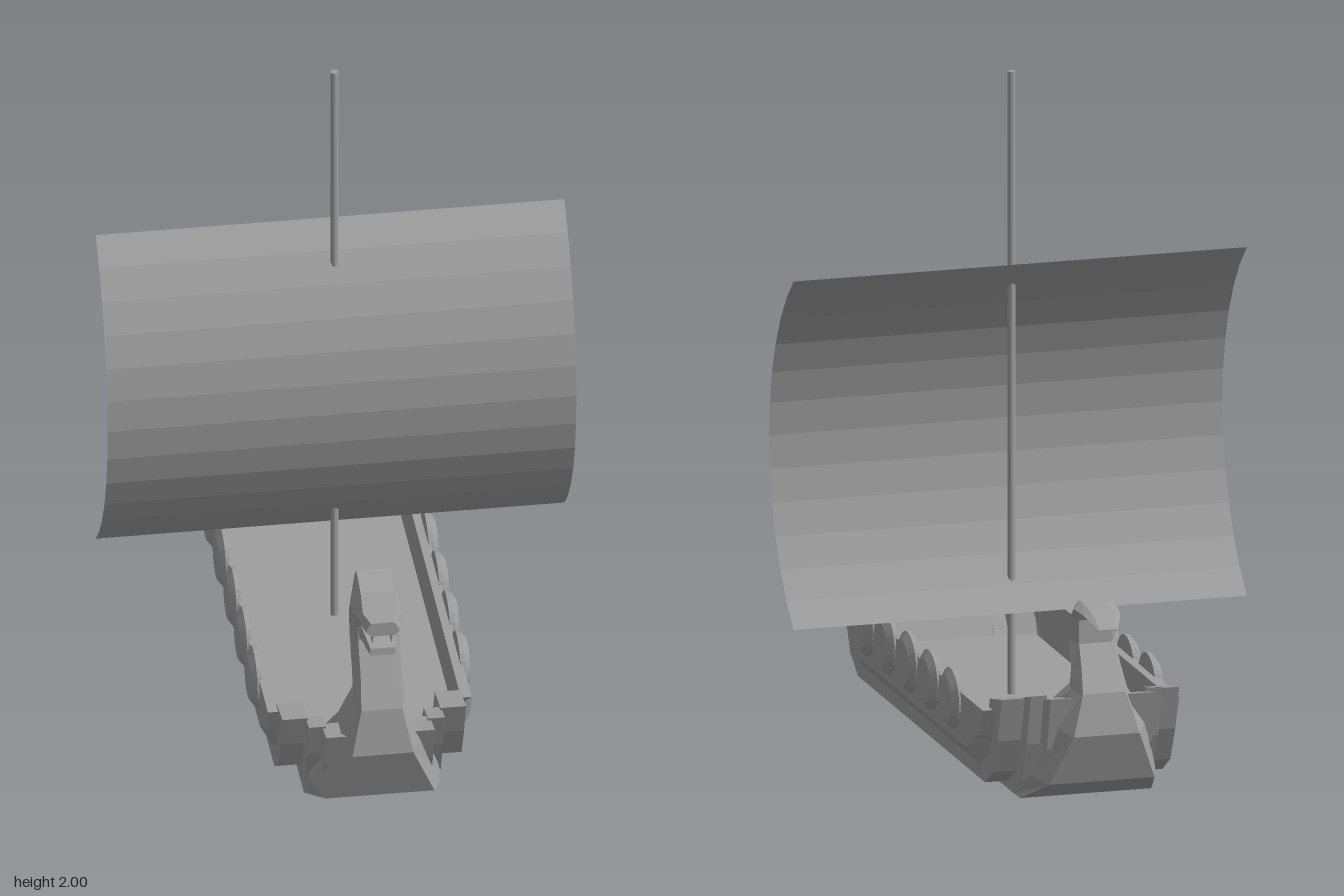
import * as THREE from 'three';

const color = 0x9e9e9e;
const mat = new THREE.MeshStandardMaterial({ color, flatShading: true });
const thin = new THREE.MeshStandardMaterial({ color, flatShading: true, side: THREE.DoubleSide });

function add(parent, name, geometry, material = mat) {
  const mesh = new THREE.Mesh(geometry, material);
  mesh.name = name;
  parent.add(mesh);
  return mesh;
}

// Loft of six-sided rings; row = [frontZ, frontY, backZ, backY, frontHalf, midHalf, backHalf]
function loft(rows, dir = 1) {
  const rings = rows.map(([fz, fy, bz, by, wf, wm, wb]) => {
    const mz = fz + (bz - fz) * 0.35, my = fy + (by - fy) * 0.35;
    return [[wf, fy, fz], [-wf, fy, fz], [-wm, my, mz], [-wb, by, bz], [wb, by, bz], [wm, my, mz]]
      .map(([x, y, z]) => [x, y, z * dir]);
  });
  const pos = [];
  const tri = (a, b, c) => pos.push(...a, ...(dir > 0 ? b : c), ...(dir > 0 ? c : b));
  for (let r = 0; r < rings.length - 1; r++) {
    const a = rings[r], b = rings[r + 1];
    for (let i = 0; i < 6; i++) {
      const j = (i + 1) % 6;
      tri(a[i], b[i], b[j]);
      tri(a[i], b[j], a[j]);
    }
  }
  const first = rings[0], last = rings[rings.length - 1];
  for (let i = 1; i < 5; i++) {
    tri(first[0], first[i], first[i + 1]);
    tri(last[0], last[i + 1], last[i]);
  }
  const g = new THREE.BufferGeometry();
  g.setAttribute('position', new THREE.Float32BufferAttribute(pos, 3));
  g.computeVertexNormals();
  return g;
}

// Plate with a (z, y) outline, spanning xi..xo on the given side
function sidePlate(points, xi, xo, side) {
  const shape = new THREE.Shape(points.map(([z, y]) => new THREE.Vector2(z, y)));
  const g = new THREE.ExtrudeGeometry(shape, { depth: xo - xi, bevelEnabled: false });
  g.rotateY(-Math.PI / 2);
  g.translate(side > 0 ? xo : -xi, 0, 0);
  return g;
}

// Open strip between two rows of points
function ribbon(rowA, rowB) {
  const pos = [];
  for (let i = 0; i < rowA.length - 1; i++) {
    pos.push(...rowA[i], ...rowB[i], ...rowB[i + 1], ...rowA[i], ...rowB[i + 1], ...rowA[i + 1]);
  }
  const g = new THREE.BufferGeometry();
  g.setAttribute('position', new THREE.Float32BufferAttribute(pos, 3));
  g.computeVertexNormals();
  return g;
}

// Upswept lower edge of a strake, from prow to stern
const sweep = (end, top, bottom, sternTop = top) => [
  [end, top], [end - 0.04, 0.19], [end - 0.09, bottom + 0.05], [end - 0.17, bottom],
  [-end + 0.17, bottom], [-end + 0.09, bottom + 0.05], [-end + 0.04, 0.19], [-end, sternTop],
];

export function createModel() {
  const ship = new THREE.Group();
  ship.name = 'longship';

  // Hull core, deck and bottom runners
  const hull = new THREE.Group();
  hull.name = 'hull';
  ship.add(hull);
  add(hull, 'keelBody', new THREE.BoxGeometry(0.398, 0.1, 1.4).translate(0, 0.06, 0));
  add(hull, 'deck', new THREE.BoxGeometry(0.535, 0.04, 1.29).translate(0, 0.105, 0));

  for (const side of [1, -1]) {
    add(hull, 'bottomRunner', new THREE.BoxGeometry(0.07, 0.012, 0.9).translate(side * 0.11, 0.006, 0.28));

    // Inner strakes, rising as stepped ribs at both ends
    for (const [xi, xo, end, top, sternTop, bottom, crest, foot] of [
      [0.195, 0.27, 0.81, 0.3, 0.325, 0.035, 0.69, 0.62],
      [0.15, 0.2, 0.87, 0.305, 0.345, 0.02, 0.78, 0.66],
      [0.08, 0.16, 0.94, 0.31, 0.35, 0.025, 0.83, 0.68]]) {
      const outline = [...sweep(end, top, bottom, sternTop),
        [-crest, sternTop - 0.025], [-foot, 0.118], [foot, 0.118], [crest, top - 0.02]];
      add(hull, 'innerStrake', sidePlate(outline, xi, xo, side));
    }

    // Outer strake with a bevelled lower edge
    const upper = sweep(0.72, 0.272, 0.12);
    const lower = sweep(0.765, 0.285, 0.075);
    add(hull, 'outerStrake', sidePlate(upper, 0.268, 0.3, side));
    add(hull, 'strakeBevel', ribbon(
      upper.map(([z, y]) => [side * 0.3, y, z]),
      lower.map(([z, y]) => [side * 0.268, y, z])), thin);

    // Row of round shields
    for (let i = 0; i < 5; i++) {
      const shield = new THREE.Group();
      shield.name = 'shield';
      shield.position.set(side * 0.3, 0.235, 0.462 - i * 0.2175);
      shield.rotation.z = -side * Math.PI / 2;
      ship.add(shield);
      const profile = [[0, -0.008], [0.09, -0.008], [0.09, 0.006], [0.067, 0.023], [0, 0.023]];
      add(shield, 'shieldDisc', new THREE.LatheGeometry(profile.map(p => new THREE.Vector2(...p)), 24));
    }
  }

  // Prow: stem, curved neck and beast head
  const prow = new THREE.Group();
  prow.name = 'prow';
  ship.add(prow);
  add(prow, 'prowNeck', loft([
    [0.76, 0.012, 0.6, 0.012, 0.2, 0.2, 0.2],
    [0.93, 0.095, 0.66, 0.11, 0.16, 0.19, 0.19],
    [0.99, 0.27, 0.77, 0.29, 0.09, 0.125, 0.1],
    [0.965, 0.41, 0.79, 0.41, 0.06, 0.075, 0.05],
    [0.915, 0.5, 0.765, 0.46, 0.055, 0.073, 0.045],
    [0.863, 0.59, 0.705, 0.6, 0.055, 0.073, 0.04],
    [0.865, 0.64, 0.72, 0.73, 0.055, 0.075, 0.045],
    [0.885, 0.665, 0.79, 0.785, 0.05, 0.075, 0.05],
    [0.9, 0.67, 0.88, 0.762, 0.055, 0.075, 0.05],
    [0.935, 0.685, 0.925, 0.722, 0.055, 0.058, 0.05],
    [0.987, 0.68, 0.985, 0.722, 0.035, 0.05, 0.035],
  ]));
  add(prow, 'lowerJaw', loft([
    [0.85, 0.595, 0.85, 0.66, 0.05, 0.055, 0.05],
    [0.9, 0.615, 0.89, 0.655, 0.05, 0.052, 0.05],
    [0.985, 0.612, 0.982, 0.634, 0.035, 0.04, 0.035],
  ]));
  for (const side of [1, -1]) {
    add(prow, 'fang', new THREE.ConeGeometry(0.01, 0.05, 4).rotateX(Math.PI).translate(side * 0.028, 0.665, 0.968));
  }

  // Stern: matching post ending in a backward curl
  add(ship, 'sternPost', loft([
    [0.76, 0.012, 0.6, 0.012, 0.2, 0.2, 0.2],
    [0.925, 0.09, 0.66, 0.11, 0.16, 0.19, 0.19],
    [0.975, 0.24, 0.76, 0.29, 0.1, 0.14, 0.12],
    [0.95, 0.36, 0.8, 0.36, 0.065, 0.085, 0.06],
    [0.9, 0.43, 0.795, 0.41, 0.055, 0.075, 0.045],
    [0.86, 0.49, 0.75, 0.5, 0.05, 0.07, 0.04],
    [0.858, 0.56, 0.79, 0.59, 0.05, 0.068, 0.04],
    [0.87, 0.585, 0.83, 0.615, 0.05, 0.065, 0.04],
    [0.93, 0.585, 0.93, 0.602, 0.05, 0.055, 0.035],
    [0.985, 0.555, 0.985, 0.56, 0.03, 0.03, 0.025],
  ], -1));

  // Mast and billowing sail
  add(ship, 'mast', new THREE.CylinderGeometry(0.012, 0.012, 1.89, 12).translate(0, 1.055, -0.01));
  const radius = 0.681, half = 0.88;
  const sail = new THREE.CylinderGeometry(radius, radius, 1.38, 12, 1, true, -half, half * 2);
  sail.rotateZ(Math.PI / 2).translate(0, 0.915, 0.147 - radius);
  add(ship, 'sail', sail, thin);

  return ship;
}
